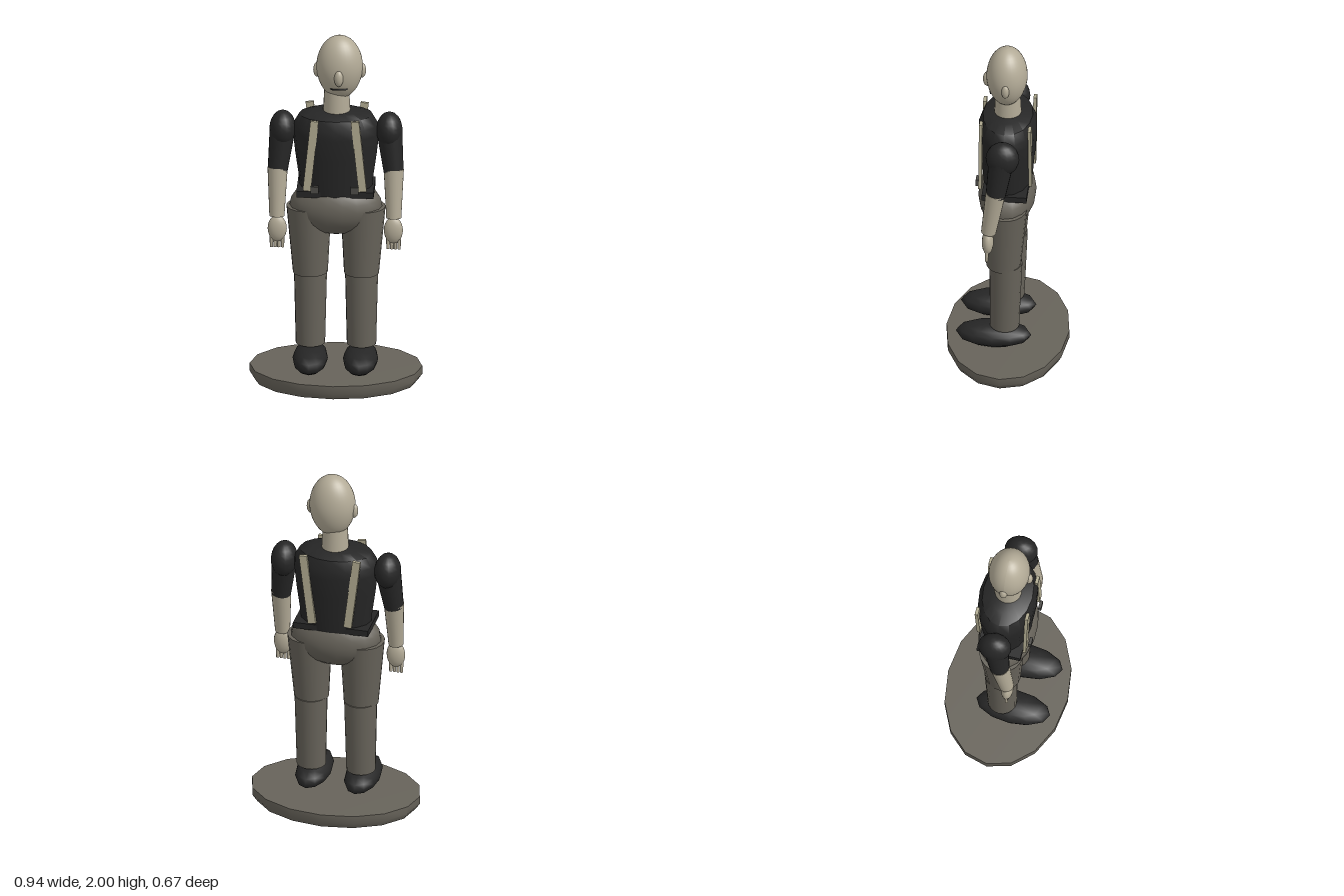
import * as THREE from 'three';
import { toCreasedNormals } from 'three/addons/utils/BufferGeometryUtils.js';

const mat = (name, color) => {
  const m = new THREE.MeshStandardMaterial({ color });
  m.name = name;
  return m;
};

export function createModel() {
  const skin = mat('skin', 0xb3ab97);
  const cloth = mat('trouser grey', 0x67635a);
  const black = mat('black', 0x262626);
  const cream = mat('strap cream', 0xb0aa90);
  const metal = mat('clip grey', 0x4c4b47);

  const model = new THREE.Group();
  model.name = 'figurine';

  const add = (name, geometry, material, x = 0, y = 0, z = 0) => {
    const mesh = new THREE.Mesh(geometry, material);
    mesh.name = name;
    mesh.position.set(x, y, z);
    model.add(mesh);
    return mesh;
  };
  const ball = (name, material, pos, radii, w = 20, h = 14) =>
    add(name, new THREE.SphereGeometry(1, w, h).scale(...radii), material, ...pos);
  // Elliptical lathe from [radius, height] pairs
  const lathe = (profile, segments, depth) =>
    toCreasedNormals(new THREE.LatheGeometry(
      profile.map(([r, y]) => new THREE.Vector2(r, y)), segments).scale(1, 1, depth), 0.75);
  // Tapered limb between two points
  const limb = (name, material, from, to, rTop, rBottom, segments = 20) => {
    const a = new THREE.Vector3(...from), b = new THREE.Vector3(...to);
    const dir = a.clone().sub(b);
    const mesh = add(name, new THREE.CylinderGeometry(rTop, rBottom, dir.length(), segments), material);
    mesh.position.copy(a).add(b).multiplyScalar(0.5);
    mesh.quaternion.setFromUnitVectors(new THREE.Vector3(0, 1, 0), dir.normalize());
    return mesh;
  };
  // Flat strap running between two points in x and y
  const strap = (name, x0, y0, x1, y1, z) => {
    const len = Math.hypot(x1 - x0, y1 - y0);
    const mesh = add(name, new THREE.BoxGeometry(0.044, len, 0.018), cream, (x0 + x1) / 2, (y0 + y1) / 2, z);
    mesh.rotation.z = Math.atan2(x1 - x0, y0 - y1);
  };

  // Oval stand with a bevelled lower edge
  add('base', lathe([[0, 0], [0.445, 0], [0.47, 0.035], [0.47, 0.08], [0, 0.085]], 16, 0.713), cloth);

  // Pelvis, belt and shirt body
  ball('pelvis', cloth, [0, 1.015, 0.003], [0.252, 0.162, 0.157], 18, 12);
  add('belt', new THREE.BoxGeometry(0.42, 0.035, 0.245), black, 0, 1.115, 0);
  add('torso', lathe([[0, 1.1], [0.195, 1.1], [0.205, 1.2], [0.222, 1.32], [0.235, 1.44],
    [0.232, 1.49], [0.2, 1.545], [0.13, 1.567], [0, 1.572]], 16, 0.68), black);

  // Neck and egg-shaped head
  add('neck', new THREE.CylinderGeometry(0.068, 0.075, 0.14, 20), skin, 0.004, 1.62, 0);
  const hx = 0.02;
  const head = ball('head', skin, [hx, 1.82, 0.003], [0.127, 0.18, 0.112], 32, 24);
  const hp = head.geometry.attributes.position;
  for (let i = 0; i < hp.count; i++) {
    const taper = 1 + 0.25 * Math.min(0, hp.getY(i));
    hp.setX(i, hp.getX(i) * taper);
    hp.setZ(i, hp.getZ(i) * taper);
  }
  head.geometry.computeVertexNormals();
  ball('nose', skin, [hx, 1.79, 0.11], [0.025, 0.046, 0.025]);
  const lip = [-0.046, -0.023, 0, 0.023, 0.046].map((x, i) =>
    new THREE.Vector3(hx + x, 1.72 - (i % 2 ? 0.002 : 0), 0.0945 * Math.sqrt(1 - (x / 0.103) ** 2)));
  add('mouth', new THREE.TubeGeometry(new THREE.CatmullRomCurve3(lip), 12, 0.0045, 6), black);

  for (const s of [1, -1]) {
    const side = s > 0 ? 'left' : 'right';
    ball(side + 'Ear', skin, [hx + s * 0.122, 1.8, 0], [0.022, 0.042, 0.022], 14, 10);

    // Arm: shoulder, sleeve, forearm, hand and fingers
    ball(side + 'Shoulder', black, [s * 0.29, 1.455, 0], [0.072, 0.1, 0.092], 16, 12);
    limb(side + 'Sleeve', black, [s * 0.291, 1.45, 0.005], [s * 0.316, 1.22, 0.035], 0.07, 0.054);
    limb(side + 'Forearm', skin, [s * 0.316, 1.24, 0.034], [s * 0.318, 0.97, 0.073], 0.055, 0.041);
    ball(side + 'Palm', skin, [s * 0.316, 0.9, 0.078], [0.052, 0.076, 0.032], 16, 12);
    for (let i = 0; i < 4; i++) {
      const x = s * (0.287 + i * 0.02);
      limb(side + 'Finger', skin, [x, 0.89, 0.079], [x, 0.792, 0.081], 0.011, 0.009, 8);
    }

    // Leg and shoe
    limb(side + 'Thigh', cloth, [s * 0.147, 1.012, 0.002], [s * 0.139, 0.625, 0.01], 0.123, 0.095);
    limb(side + 'Shin', cloth, [s * 0.139, 0.635, -0.003], [s * 0.139, 0.21, 0.004], 0.09, 0.08);
    ball(side + 'Shoe', black, [s * 0.137, 0.143, 0.065], [0.096, 0.067, 0.206], 12, 8);

    // Braces with front clips
    strap(side + 'FrontStrap', s * 0.11, 1.55, s * 0.152, 1.145, 0.136);
    strap(side + 'BackStrap', s * 0.15, 1.56, s * 0.1, 1.15, -0.134);
    add(side + 'Clip', new THREE.BoxGeometry(0.044, 0.04, 0.016), metal, s * 0.109, 1.155, 0.155);
  }
  return model;
}
